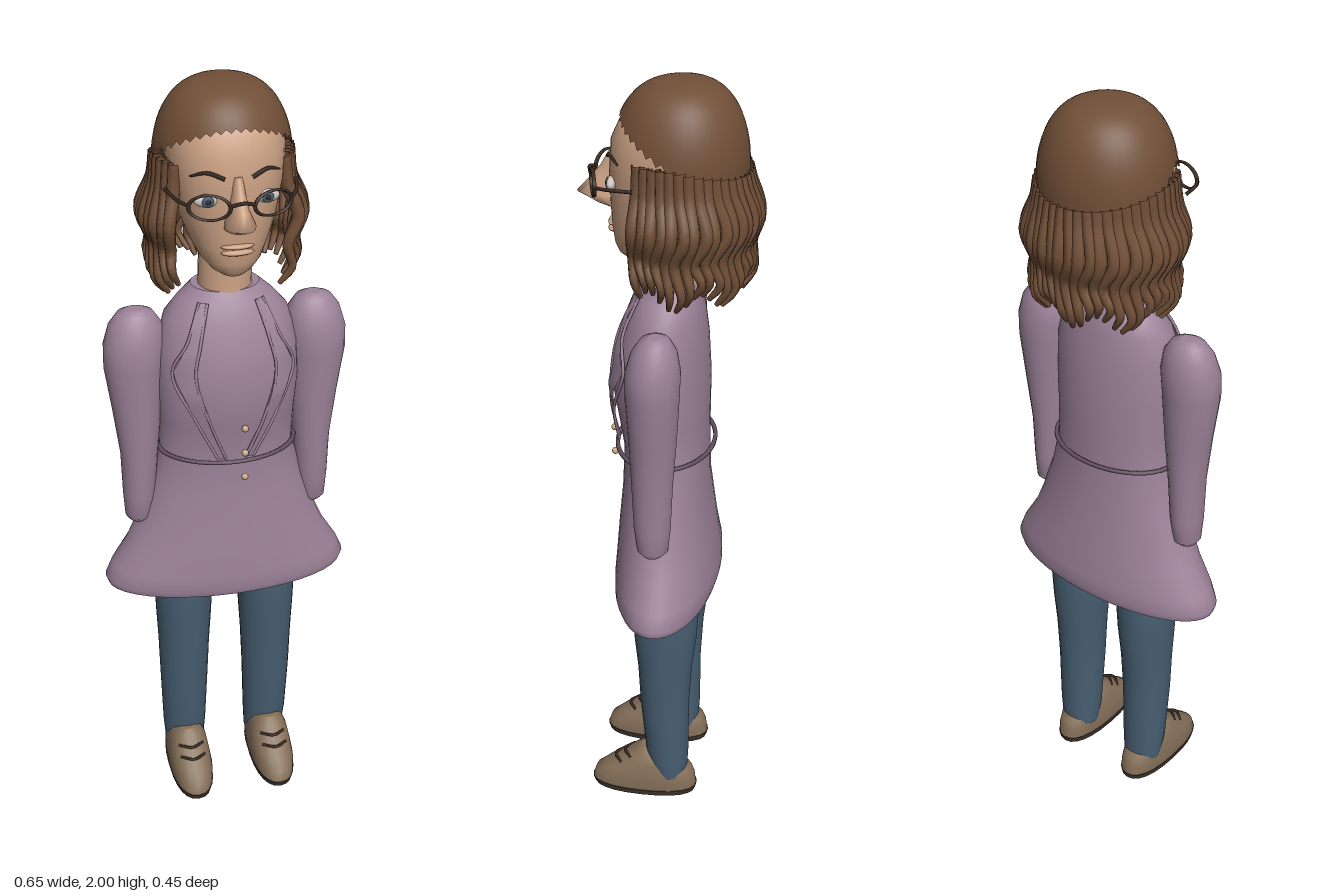
import * as THREE from 'three';
import { mergeVertices } from 'three/addons/utils/BufferGeometryUtils.js';

const mat = (name, color, side = THREE.FrontSide) => {
  const m = new THREE.MeshStandardMaterial({ color, side });
  m.name = name;
  return m;
};
const V = (x, y, z) => new THREE.Vector3(x, y, z);

// Stacks rings from sections [y, halfWidth, zFront, zBack, centreX], bottom to top, with caps.
function loft(sections, n = 32, e = 1) {
  const pos = [], idx = [], pw = (v) => Math.sign(v) * Math.abs(v) ** e;
  const ring = ([y, rx, zf, zb, cx = 0]) => {
    for (let j = 0; j < n; j++) {
      const a = (j / n) * Math.PI * 2;
      pos.push(cx + rx * pw(Math.sin(a)), y, (zf + zb) / 2 + ((zf - zb) / 2) * pw(Math.cos(a)));
    }
  };
  sections.forEach(ring);
  for (let i = 0; i < sections.length - 1; i++) {
    for (let j = 0; j < n; j++) {
      const k = (j + 1) % n, a = i * n + j, b = i * n + k;
      idx.push(a, b, b + n, a, b + n, a + n);
    }
  }
  for (const top of [false, true]) {
    const s = top ? sections[sections.length - 1] : sections[0], c = pos.length / 3;
    pos.push(s[4] ?? 0, s[0], (s[2] + s[3]) / 2);
    ring(s);
    for (let j = 0; j < n; j++) {
      const p = c + 1 + j, q = c + 1 + ((j + 1) % n);
      idx.push(c, top ? p : q, top ? q : p);
    }
  }
  const g = new THREE.BufferGeometry();
  g.setAttribute('position', new THREE.Float32BufferAttribute(pos, 3));
  g.setIndex(idx);
  g.computeVertexNormals();
  return g;
}

// Reads a row of values out of a table sorted by its first column.
function sample(rows, y) {
  let i = 0;
  while (i < rows.length - 2 && rows[i + 1][0] < y) i++;
  const t = THREE.MathUtils.clamp((y - rows[i][0]) / (rows[i + 1][0] - rows[i][0]), 0, 1);
  return rows[i].map((v, k) => v + (rows[i + 1][k] - v) * t);
}

// Tube through points, optionally narrowing towards its end.
function tube(points, r, { seg = 12, sides = 6, closed = false, taper = 0 } = {}) {
  const curve = new THREE.CatmullRomCurve3(points, closed);
  const g = new THREE.TubeGeometry(curve, seg, r, sides, closed);
  if (taper) {
    const p = g.attributes.position, v = V(0, 0, 0);
    for (let i = 0; i <= seg; i++) {
      const c = curve.getPointAt(i / seg), k = 1 - taper * (i / seg) ** 3;
      for (let j = 0; j <= sides; j++) {
        const q = i * (sides + 1) + j;
        v.fromBufferAttribute(p, q).sub(c).multiplyScalar(k).add(c);
        p.setXYZ(q, v.x, v.y, v.z);
      }
    }
  }
  return g;
}

export function createModel() {
  const root = new THREE.Group();
  root.name = 'woman';
  const coatMat = mat('coat mauve', 0x9d839a, THREE.DoubleSide);
  const beltMat = mat('belt plum', 0x665063);
  const denim = mat('denim blue', 0x475f72);
  const hairMat = mat('hair brown', 0x714f37, THREE.DoubleSide);
  const skin = mat('skin', 0xcaa083);
  const shoeMat = mat('shoe brown', 0x857059);
  const soleMat = mat('sole dark', 0x40372f);
  const buttonMat = mat('button tan', 0xc9a887);
  const eyeMat = mat('eye white', 0xcfc8c2);
  const dark = mat('dark brown', 0x3a2a22);
  const add = (name, geo, m, x = 0, y = 0, z = 0) => {
    const mesh = new THREE.Mesh(geo, m);
    mesh.name = name;
    mesh.position.set(x, y, z);
    root.add(mesh);
    return mesh;
  };

  // Coat with flared skirt
  const coat = [
    [0.65, 0.318, 0.128, -0.132], [0.67, 0.325, 0.135, -0.138], [0.71, 0.308, 0.135, -0.138],
    [0.78, 0.265, 0.13, -0.128], [0.85, 0.235, 0.125, -0.12], [0.95, 0.2, 0.116, -0.108],
    [1.06, 0.172, 0.112, -0.105], [1.15, 0.174, 0.126, -0.105], [1.25, 0.18, 0.143, -0.106],
    [1.35, 0.176, 0.128, -0.1], [1.43, 0.155, 0.1, -0.09], [1.47, 0.12, 0.08, -0.08], [1.5, 0.085, 0.06, -0.07],
  ];
  add('coat', loft(coat, 40), coatMat);
  const coatZ = (x, y) => {
    const [, rx, zf, zb] = sample(coat, y);
    return (zf + zb) / 2 + ((zf - zb) / 2) * Math.sqrt(Math.max(0, 1 - (x / rx) ** 2));
  };

  // Belt and buttons
  const beltPath = Array.from({ length: 24 }, (_, i) => {
    const a = (i / 24) * Math.PI * 2;
    return V(0.177 * Math.sin(a), 1.062, 0.006 + 0.124 * Math.cos(a));
  });
  add('belt', tube(beltPath, 0.006, { seg: 48, closed: true }), beltMat);
  for (const y of [1.02, 1.09, 1.16]) add('button', new THREE.SphereGeometry(0.009, 10, 8), buttonMat, 0.02, y, 0.138);

  // Lapel rows: height, inner x, outer x
  const lapel = [[1.07, 0.025, 0.045], [1.19, 0.07, 0.102], [1.31, 0.1, 0.152], [1.39, 0.085, 0.115], [1.48, 0.06, 0.078]];
  const sleeve = [
    [0.85, 0.025, 0.03, -0.018, 0.232], [0.865, 0.036, 0.045, -0.034, 0.231], [0.93, 0.042, 0.053, -0.04, 0.229],
    [1.05, 0.048, 0.058, -0.045, 0.226], [1.18, 0.062, 0.063, -0.055, 0.228], [1.3, 0.075, 0.07, -0.062, 0.232],
    [1.36, 0.077, 0.07, -0.064, 0.229], [1.41, 0.066, 0.055, -0.055, 0.225], [1.44, 0.045, 0.035, -0.038, 0.224],
    [1.45, 0.02, 0.015, -0.02, 0.224],
  ];
  const leg = [
    [0.06, 0.055, 0.03, -0.068, 0.116], [0.13, 0.06, 0.045, -0.072, 0.117], [0.3, 0.066, 0.06, -0.073, 0.117],
    [0.42, 0.07, 0.066, -0.08, 0.116], [0.52, 0.075, 0.076, -0.092, 0.115], [0.65, 0.08, 0.082, -0.1, 0.114],
    [0.9, 0.08, 0.08, -0.09, 0.1],
  ];
  const shoe = [
    [0.018, 0.058, 0.198, -0.095], [0.045, 0.06, 0.19, -0.092], [0.07, 0.057, 0.16, -0.082],
    [0.1, 0.052, 0.115, -0.05], [0.13, 0.04, 0.078, -0.01], [0.142, 0.02, 0.06, 0.02],
  ];
  const mirrored = (rows, s) => rows.map(([y, rx, zf, zb, cx = 0.118]) => [y, rx, zf, zb, cx * s]);

  for (const s of [-1, 1]) {
    const side = s > 0 ? 'left' : 'right';
    add(side + 'Sleeve', loft(mirrored(sleeve, s), 24), coatMat);
    add(side + 'TrouserLeg', loft(mirrored(leg, s), 24), denim);
    add(side + 'Shoe', loft(mirrored(shoe, s), 24, 0.85), shoeMat);
    add(side + 'Sole', loft(mirrored([[0, 0.056, 0.194, -0.092], [0.018, 0.06, 0.2, -0.097]], s), 24, 0.85), soleMat);
    for (const [y, z] of [[0.09, 0.132], [0.11, 0.105]]) {
      const x = s * 0.118;
      add(side + 'Lace', tube([V(x - 0.034, y, z - 0.02), V(x, y + 0.004, z + 0.002), V(x + 0.034, y, z - 0.02)], 0.004), dark);
    }

    // Lapel draped over the chest, with a raised rim
    const plate = new THREE.PlaneGeometry(1, 1, 3, 20), p = plate.attributes.position;
    const onChest = (y, t) => {
      const [, a, b] = sample(lapel, y), x = a + (b - a) * t;
      return V(s * x, y, coatZ(x, y) + 0.012);
    };
    for (let i = 0; i < p.count; i++) {
      const q = onChest(1.07 + 0.41 * (p.getY(i) + 0.5), 0.5 + s * p.getX(i));
      p.setXYZ(i, q.x, q.y, q.z);
    }
    plate.computeVertexNormals();
    add(side + 'Lapel', plate, coatMat);
    for (const t of [0, 1]) {
      add(side + 'LapelEdge', tube(lapel.map(([y]) => onChest(y, t)), 0.004, { seg: 24 }), coatMat);
    }

    // Eye, brow and spectacle frame
    add(side + 'Eye', new THREE.SphereGeometry(1, 16, 10), eyeMat, s * 0.07, 1.765, 0.124).scale.set(0.03, 0.016, 0.012);
    add(side + 'Iris', new THREE.SphereGeometry(1, 14, 10), denim, s * 0.07, 1.765, 0.134).scale.set(0.014, 0.014, 0.004);
    add(side + 'Pupil', new THREE.SphereGeometry(1, 10, 8), dark, s * 0.07, 1.765, 0.138).scale.set(0.006, 0.006, 0.002);
    add(side + 'Brow', tube([V(s * 0.032, 1.818, 0.139), V(s * 0.07, 1.832, 0.128), V(s * 0.105, 1.818, 0.102)], 0.005, { taper: 0.6 }), dark);
    const rim = add(side + 'LensRim', new THREE.TorusGeometry(0.048, 0.005, 6, 28), dark, s * 0.074, 1.765, 0.168);
    rim.scale.y = 0.62;
    rim.rotation.y = s * 0.29;
    add(side + 'Temple', tube([V(s * 0.12, 1.768, 0.154), V(s * 0.14, 1.772, 0.12), V(s * 0.155, 1.775, 0.06)], 0.0045), dark);
  }
  add('glassesBridge', tube([V(-0.028, 1.77, 0.182), V(0, 1.778, 0.19), V(0.028, 1.77, 0.182)], 0.0045), dark);

  // Head, neck, nose and mouth
  add('neck', new THREE.CylinderGeometry(0.062, 0.068, 0.17, 24), skin, 0, 1.55, -0.005);
  add('head', loft([
    [1.562, 0.03, 0.108, 0.02], [1.575, 0.05, 0.12, 0.0], [1.6, 0.073, 0.13, -0.04], [1.64, 0.094, 0.135, -0.09],
    [1.7, 0.117, 0.138, -0.135], [1.78, 0.135, 0.14, -0.16], [1.86, 0.14, 0.134, -0.16], [1.92, 0.122, 0.106, -0.14],
    [1.965, 0.06, 0.04, -0.1],
  ], 36, 0.88), skin);
  add('nose', loft([
    [1.685, 0.018, 0.15, 0.1], [1.698, 0.034, 0.178, 0.1], [1.718, 0.034, 0.222, 0.1],
    [1.75, 0.021, 0.192, 0.1], [1.785, 0.016, 0.163, 0.1], [1.82, 0.012, 0.143, 0.1],
  ], 16), skin);
  for (const [y, h] of [[1.634, 0.008], [1.649, 0.007]]) {
    add('lip', new THREE.SphereGeometry(1, 16, 8), skin, 0, y, 0.131).scale.set(0.04, h, 0.015);
  }

  // Hair cap: a dome whose lower edge rises over the forehead
  const cap = new THREE.SphereGeometry(1, 40, 18), cp = cap.attributes.position, uv = cap.attributes.uv;
  for (let i = 0; i < cp.count; i++) {
    const phi = uv.getX(i) * Math.PI * 2, f = Math.sin(phi);
    const edge = 1.815 + (f > 0 ? 0.1 : 0.085) * f;
    const th = (1 - uv.getY(i)) * Math.acos((edge - 1.8) / 0.2);
    const r = Math.max(0, Math.sin(th)) ** 0.7;
    cp.setXYZ(i, -0.167 * r * Math.cos(phi), 1.8 + 0.2 * Math.cos(th), -0.035 + (f > 0 ? 0.172 : 0.157) * r * f);
  }
  cap.deleteAttribute('uv');
  cap.deleteAttribute('normal');
  const dome = mergeVertices(cap, 1e-5);
  dome.computeVertexNormals();
  add('hairCap', dome, hairMat);

  // Wavy locks hanging round the sides and back
  const locks = 33;
  for (let i = 0; i < locks; i++) {
    const a0 = THREE.MathUtils.degToRad(56 + (248 * i) / (locks - 1));
    const j = Math.sin(i * 12.9), drop = 0.02 * Math.sin(i * 7.3);
    const wave = [[1.83, 0.95, 0], [1.76, 1.0, 0.02], [1.68, 1.17, 0.09], [1.61, 1.05, -0.06], [1.55, 1.1, 0.05], [1.505, 0.92, -0.04]];
    const path = wave.map(([y, k, sway], n) => {
      const a = a0 + sway * (i % 2 ? 1 : 0.6), kk = k + (n > 1 ? 0.03 * j : 0);
      const lift = 0.04 * Math.min(0, Math.cos(a0)) * (n === 0 ? 1 : 0);
      return V(0.164 * kk * Math.sin(a), y + lift + (n > 3 ? drop : 0), -0.035 + 0.158 * kk * Math.cos(a));
    });
    add('hairLock', tube(path, 0.0175, { seg: 20, sides: 7, taper: 0.65 }), hairMat);
  }
  return root;
}
